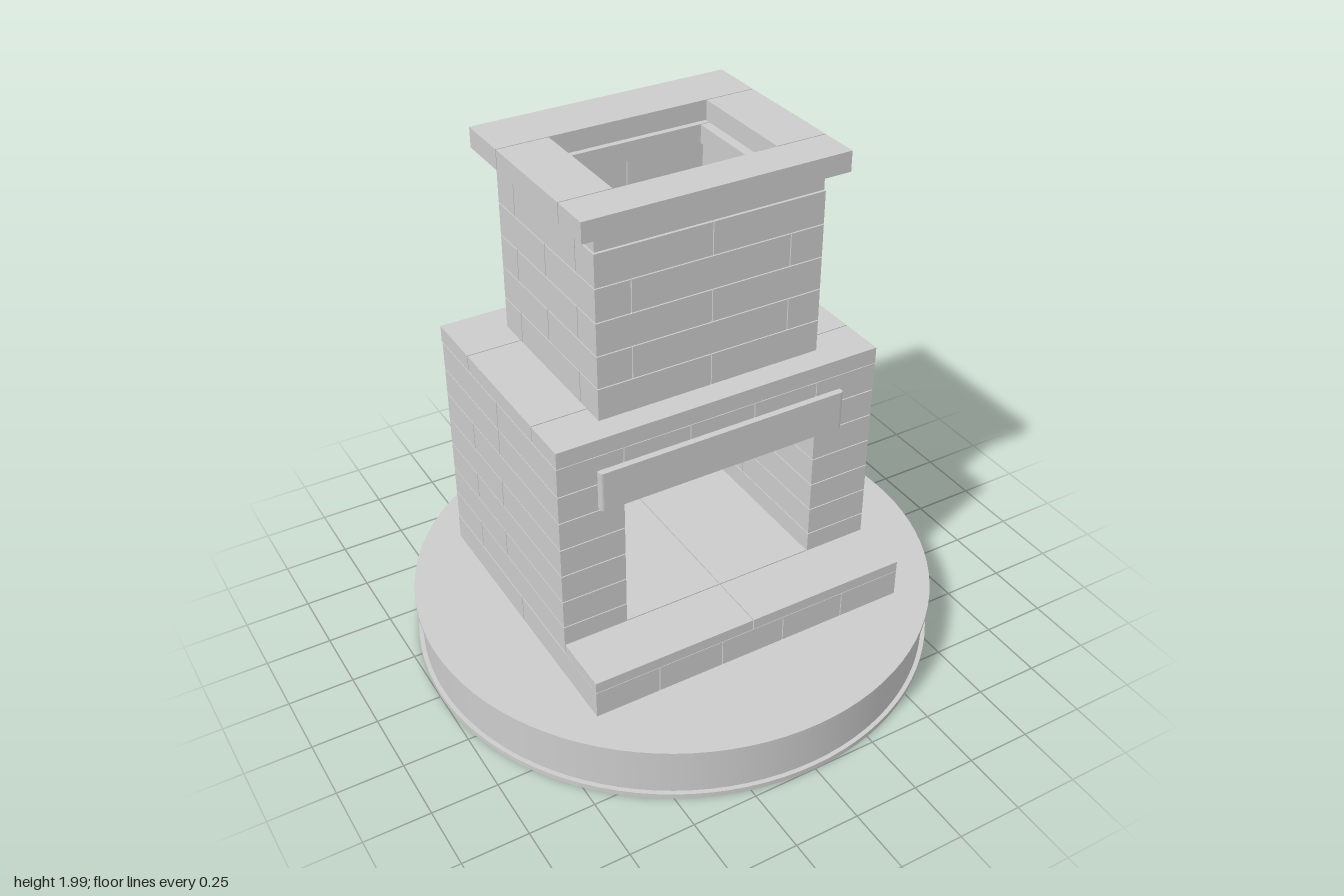
import * as THREE from 'three';

const material = new THREE.MeshStandardMaterial({ color: 0xcccccc });
const GAP = 0.004;

// Block given by its limits, shrunk slightly so neighbours show a joint
function block(parent, name, x0, x1, y0, y1, z0, z1, gap = GAP) {
  const mesh = new THREE.Mesh(
    new THREE.BoxGeometry(x1 - x0 - gap, y1 - y0 - gap, z1 - z0 - gap), material);
  mesh.position.set((x0 + x1) / 2, (y0 + y1) / 2, (z0 + z1) / 2);
  mesh.name = name;
  parent.add(mesh);
}

// Row of blocks split at the listed x or z positions
function rowX(parent, name, xs, y0, y1, z0, z1) {
  for (let i = 1; i < xs.length; i++) block(parent, name, xs[i - 1], xs[i], y0, y1, z0, z1);
}
function rowZ(parent, name, x0, x1, y0, y1, zs) {
  for (let i = 1; i < zs.length; i++) block(parent, name, x0, x1, y0, y1, zs[i - 1], zs[i]);
}

// Rectangular ring: full-width front and back, sides fitted between
function ring(parent, name, outer, inner, y0, y1) {
  const [ox, ob, of] = outer, [ix, ib, inf] = inner;
  block(parent, name, -ox, ox, y0, y1, inf, of);
  block(parent, name, -ox, ox, y0, y1, ob, ib);
  block(parent, name, -ox, -ix, y0, y1, ib, inf);
  block(parent, name, ix, ox, y0, y1, ib, inf);
}

function section(root, name) {
  const group = new THREE.Group();
  group.name = name;
  root.add(group);
  return group;
}

export function createModel() {
  const root = new THREE.Group();
  root.name = 'fireplace';

  // Round plinth with a thin rim at top and bottom
  const plinth = section(root, 'plinth');
  const disc = (name, r, y0, y1) => {
    const mesh = new THREE.Mesh(new THREE.CylinderGeometry(r, r, y1 - y0, 96), material);
    mesh.position.y = (y0 + y1) / 2;
    mesh.name = name;
    plinth.add(mesh);
  };
  disc('bottomRim', 1, 0, 0.02);
  disc('plinthDrum', 0.983, 0.02, 0.202);
  disc('topRim', 1, 0.202, 0.22);

  // Foundation course, hearth slabs and firebox floor
  const hearth = section(root, 'hearth');
  const fifths = [-0.645, -0.39, -0.13, 0.13, 0.39, 0.645];
  rowX(hearth, 'foundationBlock', fifths, 0.218, 0.33, 0, 0.582);
  rowX(hearth, 'foundationBlock', fifths, 0.218, 0.33, -0.58, 0);
  rowX(hearth, 'hearthSlab', [-0.645, 0, 0.645], 0.328, 0.375, 0.35, 0.582);
  rowX(hearth, 'fireboxFloor', [-0.39, 0, 0.39], 0.328, 0.375, -0.34, 0.35);

  // Firebox walls, alternating which wall runs through the back corners
  const body = section(root, 'firebox');
  const levels = [0.332, 0.45, 0.565, 0.68, 0.795, 0.91, 1.02, 1.135];
  for (let i = 0; i < 7; i++) {
    const y0 = levels[i], y1 = levels[i + 1];
    const backRuns = i % 2 === 0 && i < 6;
    for (const s of [-1, 1]) {
      const [x0, x1] = s < 0 ? [-0.645, -0.39] : [0.39, 0.645];
      rowZ(body, 'sideBlock', x0, x1, y0, y1, backRuns ? [-0.34, 0.35] : [-0.575, -0.11, 0.35]);
    }
    rowX(body, 'backBlock', backRuns ? [-0.645, 0, 0.645] : [-0.39, 0.39], y0, y1, -0.575, -0.34);
  }
  block(body, 'lintel', -0.39, 0.39, 0.915, 1.02, 0.17, 0.35);
  rowX(body, 'lintelBlock', [-0.39, -0.13, 0.13, 0.39], 1.02, 1.135, 0.17, 0.35);

  // Mantel board with softened front corners
  const plan = new THREE.Shape();
  plan.moveTo(-0.493, -0.34);
  plan.lineTo(0.493, -0.34);
  plan.lineTo(0.493, -0.36);
  plan.quadraticCurveTo(0.493, -0.373, 0.48, -0.373);
  plan.lineTo(-0.48, -0.373);
  plan.quadraticCurveTo(-0.493, -0.373, -0.493, -0.36);
  plan.closePath();
  const mantelGeometry = new THREE.ExtrudeGeometry(plan, { depth: 0.155, bevelEnabled: false, curveSegments: 4 });
  mantelGeometry.rotateX(-Math.PI / 2);
  const mantel = new THREE.Mesh(mantelGeometry, material);
  mantel.position.y = 0.92;
  mantel.name = 'mantel';
  body.add(mantel);

  // Slabs covering the firebox around the flue
  ring(body, 'shoulderSlab', [0.645, -0.582, 0.352], [0.31, -0.34, 0.17], 1.135, 1.203);

  // Chimney: five courses with alternating corners
  const chimney = section(root, 'chimney');
  for (let i = 0; i < 5; i++) {
    const y0 = 1.208 + i * 0.126, y1 = y0 + 0.126;
    const frontRuns = i % 2 === 0;
    const xs = frontRuns ? [-0.441, 0, 0.441] : [-0.307, 0.307];
    const zs = frontRuns ? [-0.31, 0.137] : [-0.441, -0.088, 0.268];
    rowX(chimney, 'chimneyFrontBlock', xs, y0, y1, 0.137, 0.268);
    rowX(chimney, 'chimneyBackBlock', xs, y0, y1, -0.441, -0.31);
    rowZ(chimney, 'chimneyLeftBlock', 0.307, 0.441, y0, y1, zs);
    rowZ(chimney, 'chimneyRightBlock', -0.441, -0.307, y0, y1, zs);
  }

  // Inner ledge course and overhanging cap
  ring(chimney, 'ledge', [0.437, -0.437, 0.264], [0.27, -0.265, 0.125], 1.838, 1.912);
  ring(chimney, 'capSlab', [0.505, -0.5, 0.315], [0.307, -0.288, 0.16], 1.908, 1.988);

  return root;
}
